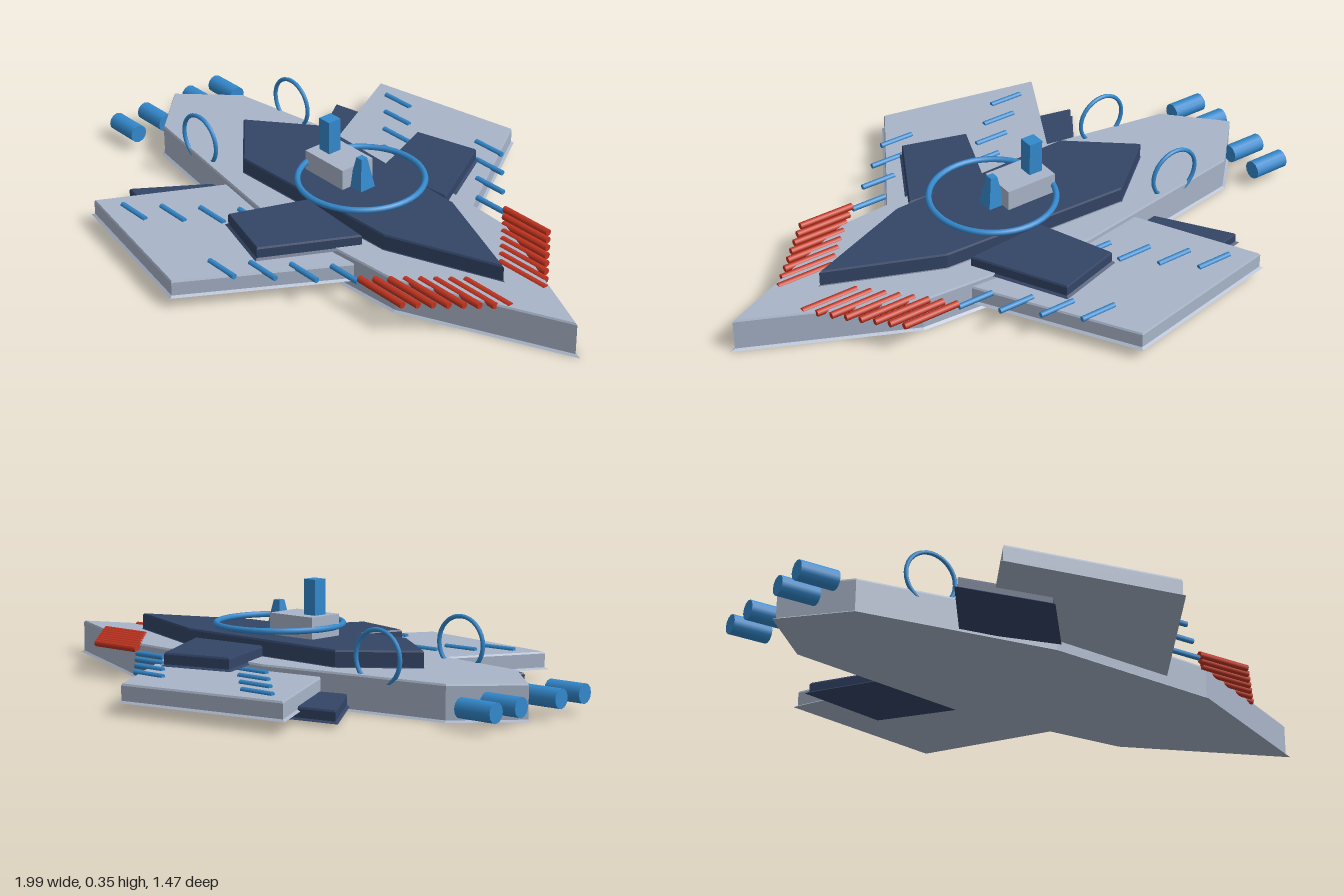
import * as THREE from 'three';

const mat = (name, color) => {
  const m = new THREE.MeshStandardMaterial({ color });
  m.name = name;
  return m;
};

// Flat convex plate from an [x, z] outline, with a thin lip at the bottom and a small top chamfer
function plateGeometry(outline, y0, y1) {
  const n = outline.length;
  let area = 0;
  outline.forEach(([x, z], i) => {
    const [x2, z2] = outline[(i + 1) % n];
    area += x * z2 - x2 * z;
  });
  const pts = area > 0 ? outline : [...outline].reverse();
  const normal = (a, b) => {
    const dx = b[0] - a[0], dz = b[1] - a[1], l = Math.hypot(dx, dz);
    return [dz / l, -dx / l];
  };
  const ring = (y, d) => pts.map((p, i) => {
    const a = normal(pts[(i + n - 1) % n], p), b = normal(p, pts[(i + 1) % n]);
    const k = d / (1 + a[0] * b[0] + a[1] * b[1]);
    return [p[0] + (a[0] + b[0]) * k, y, p[1] + (a[1] + b[1]) * k];
  });
  const rings = [ring(y0, 0), ring(y0 + 0.006, -0.008), ring(y1 - 0.006, -0.008), ring(y1, -0.011)];
  const pos = [];
  const tri = (...v) => v.forEach((p) => pos.push(...p));
  for (let r = 0; r < rings.length - 1; r++) {
    for (let i = 0; i < n; i++) {
      const j = (i + 1) % n, a = rings[r], b = rings[r + 1];
      tri(a[i], b[i], a[j]);
      tri(a[j], b[i], b[j]);
    }
  }
  const top = rings[rings.length - 1], bottom = rings[0];
  for (let i = 1; i < n - 1; i++) {
    tri(top[0], top[i + 1], top[i]);
    tri(bottom[0], bottom[i], bottom[i + 1]);
  }
  const g = new THREE.BufferGeometry();
  g.setAttribute('position', new THREE.Float32BufferAttribute(pos, 3));
  g.computeVertexNormals();
  return g;
}

export function createModel() {
  const grey = mat('hullGrey', 0xa8b4c8);
  const navy = mat('armourNavy', 0x334466);
  const blue = mat('fittingBlue', 0x3388cc);
  const red = mat('gunRed', 0xc23420);
  const ship = new THREE.Group();
  ship.name = 'spaceship';

  const add = (name, geometry, material, x = 0, y = 0, z = 0) => {
    const m = new THREE.Mesh(geometry, material);
    m.name = name;
    m.position.set(x, y, z);
    ship.add(m);
    return m;
  };
  // Half outline (nose to tail) mirrored across the centre line
  const symmetric = (half) => [...half, ...half.slice(1, -1).reverse().map(([x, z]) => [x, -z])];
  // Cylinder lying along x, starting at x0
  const rod = (name, material, x0, y, z, length, radius, sides) => {
    const g = new THREE.CylinderGeometry(radius, radius, length, sides).rotateZ(Math.PI / 2);
    add(name, g, material, x0 + length / 2, y, z);
  };

  // Main hull and raised deck
  add('hull', plateGeometry(symmetric([[0.99, 0], [0.45, 0.245], [-0.15, 0.282], [-0.79, 0.18], [-0.965, 0]]), 0, 0.112), grey);
  add('upperDeck', plateGeometry(symmetric([[0.69, 0], [0.3, 0.155], [-0.36, 0.177], [-0.578, 0]]), 0.108, 0.166), navy);

  for (const s of [1, -1]) {
    const side = s > 0 ? 'right' : 'left';
    const wing = (name, outline, y0, y1, material) =>
      add(side + name, plateGeometry(outline.map(([x, z]) => [x, z * s]), y0, y1), material);

    // Three layers of swept wings
    wing('MainWing', [[-0.575, 0.625], [-0.01, 0.735], [0.29, 0.24], [0.25, 0.18], [-0.34, 0.18]], 0.036, 0.093, grey);
    wing('LowerWing', [[-0.622, 0.455], [-0.32, 0.52], [-0.15, 0.3], [-0.455, 0.21]], 0.012, 0.05, navy);
    wing('UpperWing', [[-0.152, 0.41], [0.08, 0.476], [0.245, 0.17], [-0.05, 0.15]], 0.104, 0.146, navy);

    // Wing guns along the rear and leading edges
    for (let i = 0; i < 4; i++) {
      for (const x0 of [-0.477, -0.027]) {
        rod(side + 'WingGun', blue, x0 + i * 0.09, 0.095, s * (0.569 - i * 0.0865), 0.122, 0.009, 8);
      }
    }
    // Bow gun battery
    for (let i = 0; i < 8; i++) {
      rod(side + 'BowGun', red, 0.368 + i * 0.0305, 0.108, s * (0.308 - i * 0.0335), 0.192, 0.011, 8);
    }
    // Engines
    for (const z of [0.097, 0.215]) rod(side + 'Engine', blue, -1, 0.06, s * z, 0.125, 0.031, 12);

    // Upright hoop
    add(side + 'Hoop', new THREE.TorusGeometry(0.085, 0.007, 8, 32), blue, -0.55, 0.165, s * 0.197);
  }

  // Bridge
  add('deckRing', new THREE.TorusGeometry(0.203, 0.01, 8, 48).rotateX(Math.PI / 2), blue, 0.03, 0.195, 0);
  add('bridgeBlock', new THREE.BoxGeometry(0.18, 0.075, 0.127), grey, -0.078, 0.1975, 0);
  add('bridgeTower', new THREE.BoxGeometry(0.048, 0.12, 0.048), blue, -0.121, 0.288, 0);
  const spire = new THREE.CylinderGeometry(0.017, 0.043, 0.106, 4, 1).rotateY(Math.PI / 4).toNonIndexed();
  spire.computeVertexNormals();
  add('spire', spire, blue, 0.032, 0.216, 0);

  return ship;
}
